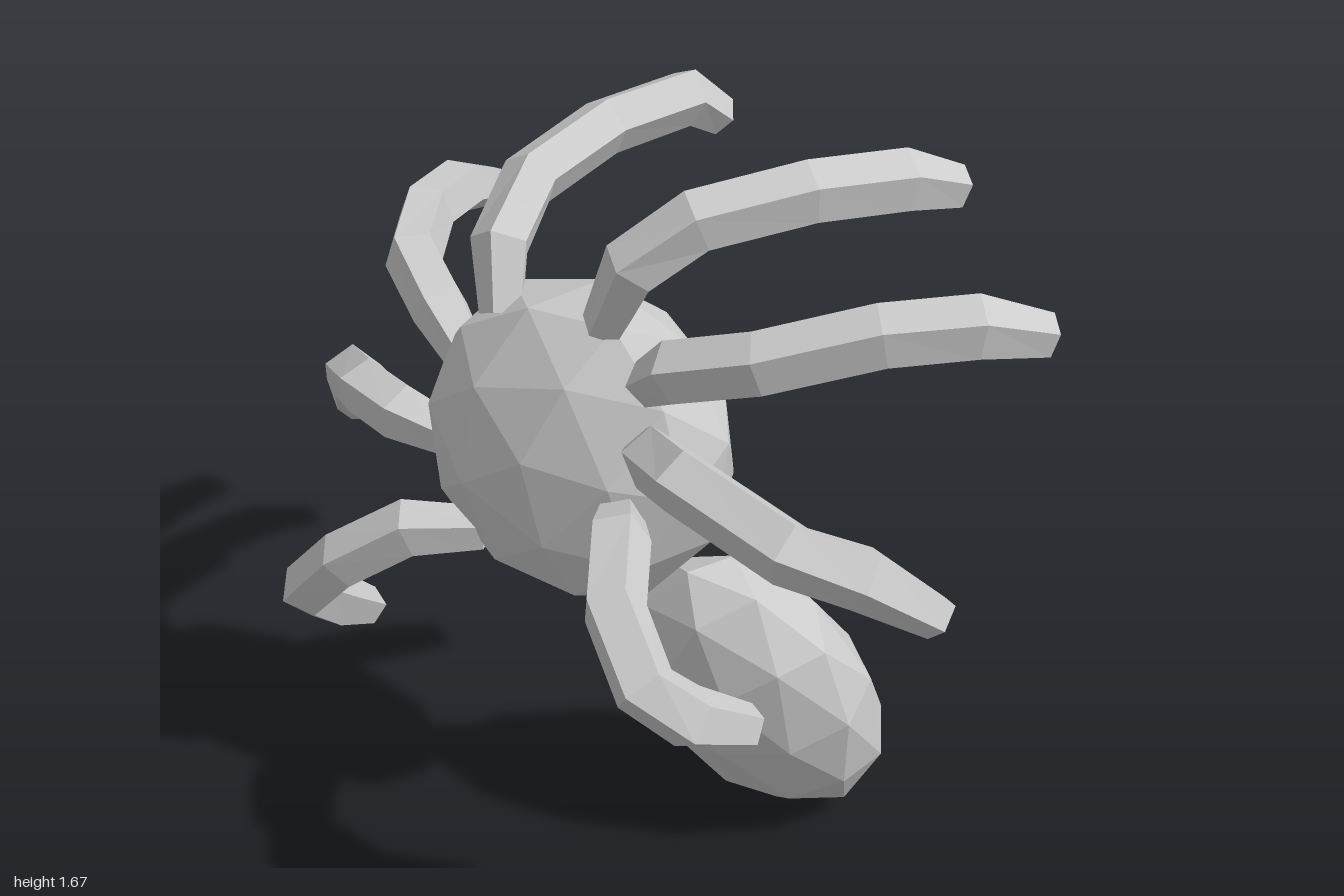
import * as THREE from 'three';

const material = new THREE.MeshStandardMaterial({ color: 0xcccccc, flatShading: true });
const vec = (a) => new THREE.Vector3(...a);

// Faceted ellipsoid: y runs along "long", x roughly along "wide"
function ellipsoid(name, centre, long, wide, radii, poleOnZ) {
  const geo = new THREE.IcosahedronGeometry(1, 1);
  geo.rotateZ(-Math.atan(2 / (1 + Math.sqrt(5)))); // bring a vertex to the pole
  if (poleOnZ) geo.rotateX(Math.PI / 2);
  geo.scale(...radii);
  const y = vec(long).normalize();
  const z = vec(wide).cross(y).normalize();
  const x = y.clone().cross(z);
  geo.applyMatrix4(new THREE.Matrix4().makeBasis(x, y, z));
  geo.computeVertexNormals();
  const mesh = new THREE.Mesh(geo, material);
  mesh.name = name;
  mesh.position.set(...centre);
  return mesh;
}

// Five-sided limb lofted along a bent path, closed at both ends
function limb(name, path) {
  const sides = 5;
  const pts = path.map(vec);
  const last = pts.length - 1;
  const u = new THREE.Vector3(0.3, 0.5, 0.8);
  const rings = pts.map((p, i) => {
    const t = pts[Math.min(i + 1, last)].clone().sub(pts[Math.max(i - 1, 0)]).normalize();
    u.addScaledVector(t, -u.dot(t)).normalize();
    const v = t.clone().cross(u);
    const r = i === 0 ? 0.05 : i === last ? 0.046 : 0.067;
    return Array.from({ length: sides }, (_, k) => {
      const a = (k / sides) * Math.PI * 2;
      return p.clone().addScaledVector(u, r * Math.cos(a)).addScaledVector(v, r * Math.sin(a));
    });
  });
  const tris = [];
  for (let k = 0; k < sides; k++) {
    const n = (k + 1) % sides;
    for (let i = 0; i < last; i++) {
      const [a, b] = [rings[i], rings[i + 1]];
      tris.push(a[k], a[n], b[n], a[k], b[n], b[k]);
    }
    tris.push(pts[0], rings[0][n], rings[0][k], pts[last], rings[last][k], rings[last][n]);
  }
  const geo = new THREE.BufferGeometry().setFromPoints(tris);
  geo.computeVertexNormals();
  const mesh = new THREE.Mesh(geo, material);
  mesh.name = name;
  return mesh;
}

// Centre lines of the legs, root to tip
const leftLegs = [
  [[0.06, 1.32, 0.14], [0.13, 1.48, 0.13], [0.22, 1.58, 0.04], [0.35, 1.62, -0.15], [0.44, 1.61, -0.34], [0.49, 1.57, -0.46]],
  [[0.2, 1.25, 0.16], [0.3, 1.33, 0.19], [0.47, 1.39, 0.13], [0.65, 1.46, -0.02], [0.77, 1.47, -0.16], [0.85, 1.43, -0.29]],
  [[0.24, 1.12, 0.2], [0.33, 1.18, 0.28], [0.48, 1.23, 0.36], [0.75, 1.19, 0.36], [0.87, 1.15, 0.28], [0.97, 1.05, 0.17]],
  [[0.2, 0.97, 0.24], [0.3, 1.01, 0.35], [0.42, 0.97, 0.49], [0.56, 0.88, 0.55], [0.63, 0.81, 0.49], [0.68, 0.75, 0.37]],
];
const rightLegs = [
  [[-0.2, 1.27, 0.18], [-0.25, 1.4, 0.13], [-0.31, 1.48, -0.02], [-0.32, 1.52, -0.26], [-0.28, 1.53, -0.48], [-0.26, 1.46, -0.57]],
  [[-0.32, 1.11, 0.17], [-0.44, 1.18, 0.14], [-0.59, 1.23, 0.08], [-0.72, 1.24, -0.08], [-0.79, 1.22, -0.25], [-0.83, 1.15, -0.42]],
  [[-0.34, 0.93, 0.22], [-0.46, 0.95, 0.25], [-0.6, 0.95, 0.23], [-0.78, 0.87, 0.12], [-0.89, 0.75, 0.03], [-0.97, 0.63, -0.06]],
  [[-0.17, 0.79, 0.28], [-0.3, 0.78, 0.38], [-0.44, 0.67, 0.46], [-0.56, 0.54, 0.47], [-0.61, 0.43, 0.36], [-0.64, 0.33, 0.23]],
];

export function createModel() {
  const model = new THREE.Group();
  model.name = 'spider';
  model.add(ellipsoid('thorax', [-0.025, 1.015, 0.13], [0, 0.98, -0.2], [0.98, 0, -0.17], [0.375, 0.36, 0.22], true));
  model.add(ellipsoid('abdomen', [0.28, 0.39, -0.12], [-0.1, 0.87, 0.45], [0.95, 0, -0.25], [0.285, 0.42, 0.2], false));
  leftLegs.forEach((path, i) => model.add(limb('leftLeg' + (i + 1), path)));
  rightLegs.forEach((path, i) => model.add(limb('rightLeg' + (i + 1), path)));
  return model;
}
